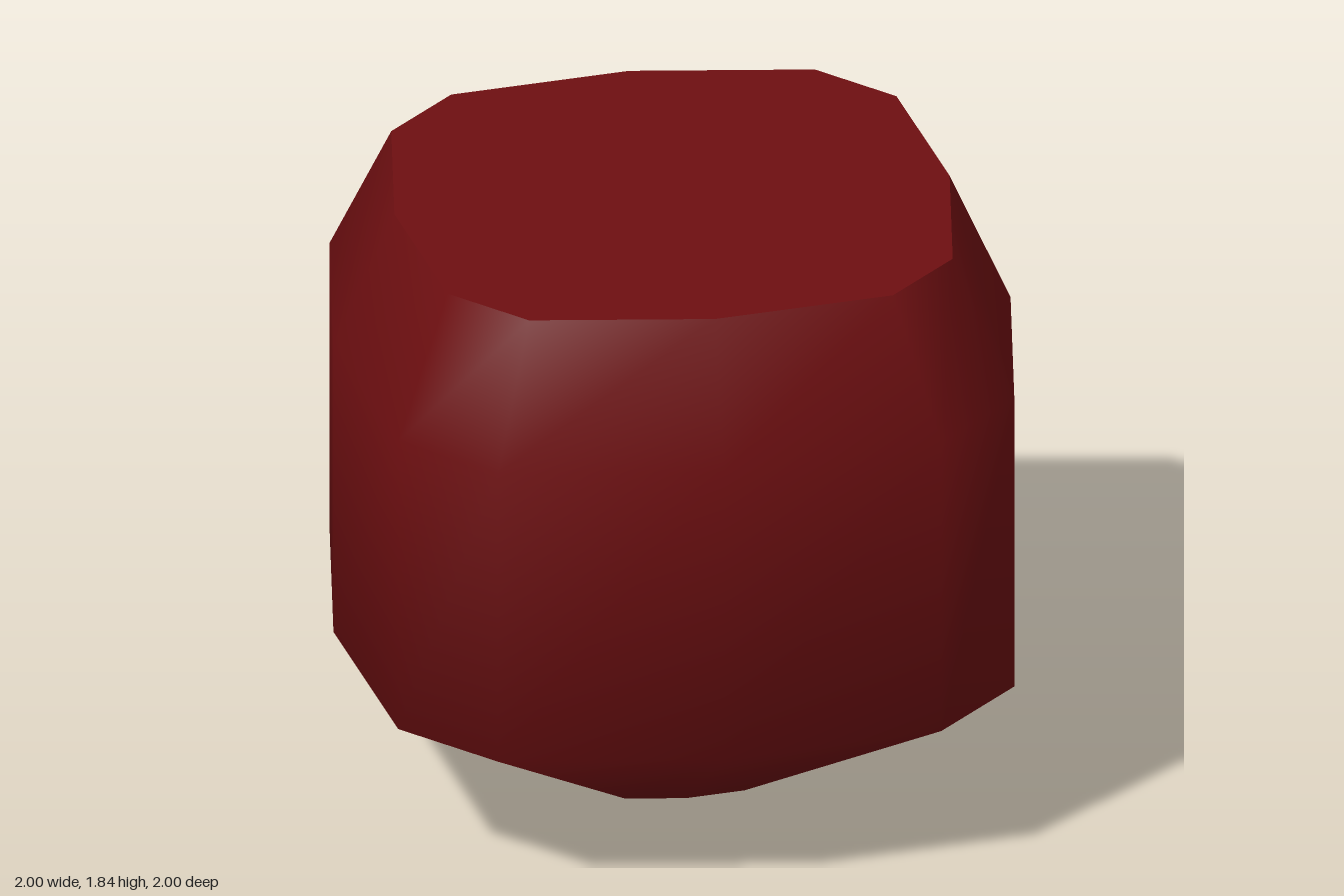
import * as THREE from 'three';

// Twelve-sided rounded-square outline, one quadrant repeated by rotation
function outline(r) {
  const quadrant = [[1, 0], [0.91, 0.655], [0.655, 0.91]];
  const pts = [];
  for (let q = 0; q < 4; q++) {
    const c = Math.round(Math.cos(q * Math.PI / 2)), s = Math.round(Math.sin(q * Math.PI / 2));
    for (const [x, z] of quadrant) pts.push([r * (x * c - z * s), r * (x * s + z * c)]);
  }
  return pts;
}

// Loft through rings of [y, radius]; optional caps share the ring vertices
function loft(rings, capBottom, capTop) {
  const pos = [], idx = [], n = 12;
  for (const [y, r] of rings) for (const [x, z] of outline(r)) pos.push(x, y, z);
  for (let k = 0; k < rings.length - 1; k++) {
    for (let i = 0; i < n; i++) {
      const a = k * n + i, b = k * n + (i + 1) % n;
      idx.push(a, a + n, b, b, a + n, b + n);
    }
  }
  const top = (rings.length - 1) * n;
  for (let i = 1; i < n - 1; i++) {
    if (capBottom) idx.push(0, i, i + 1);
    if (capTop) idx.push(top, top + i + 1, top + i);
  }
  const g = new THREE.BufferGeometry();
  g.setAttribute('position', new THREE.Float32BufferAttribute(pos, 3));
  g.setIndex(idx);
  g.computeVertexNormals();
  return g;
}

export function createModel() {
  const group = new THREE.Group();
  group.name = 'roundedBlock';
  const darkRed = new THREE.MeshStandardMaterial({ color: 0x6e0f11 });
  darkRed.name = 'dark red';

  // Smooth body, tapering to a small foot and chamfered at the top
  const body = new THREE.Mesh(loft([[0, 0.27], [0.485, 1], [1.425, 1], [1.835, 0.82]], true, false), darkRed);
  body.name = 'body';

  // Flat lid with a sharp rim
  const lid = new THREE.Mesh(loft([[1.835, 0.82]], false, true), darkRed);
  lid.name = 'topFace';

  group.add(body, lid);
  return group;
}
